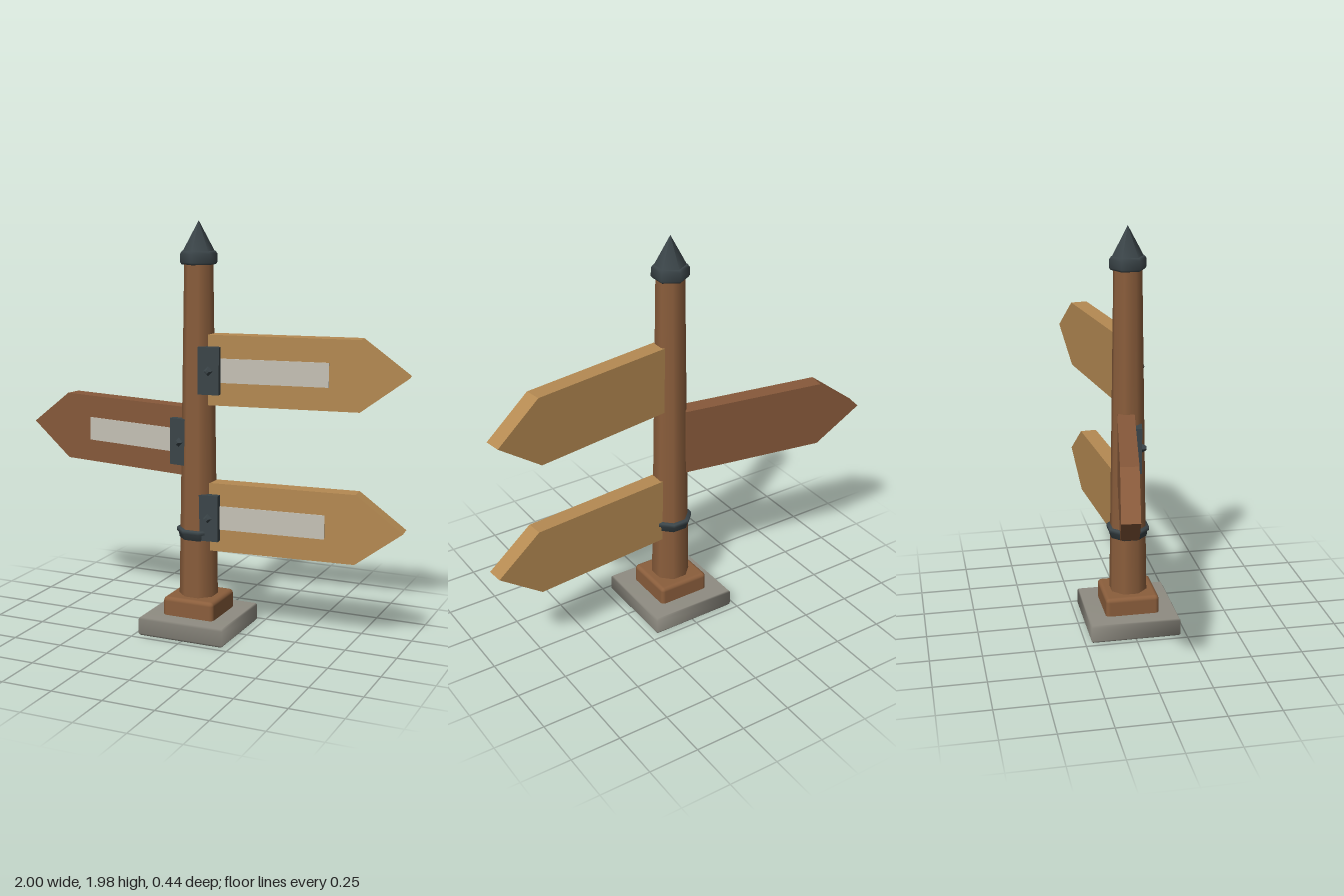
import * as THREE from 'three';
import { RoundedBoxGeometry } from 'three/addons/geometries/RoundedBoxGeometry.js';

const mat = (color, flatShading = false) => new THREE.MeshStandardMaterial({ color, flatShading });
const stone = mat(0x8f8c82), postWood = mat(0x8b5e3c), lightWood = mat(0xb58a52, true);
const darkWood = mat(0x87593a, true), iron = mat(0x3b4549), ironFlat = mat(0x3b4549, true), paint = mat(0xc6c2b6, true);

function part(parent, name, geometry, material, x = 0, y = 0, z = 0) {
  const mesh = new THREE.Mesh(geometry, material);
  mesh.name = name;
  mesh.position.set(x, y, z);
  parent.add(mesh);
  return mesh;
}

// Faceted upright solid from [radius, height] pairs, listed bottom to top
function turned(profile, sides, turn = 0) {
  return new THREE.LatheGeometry(profile.map(([r, y]) => new THREE.Vector2(r, y)), sides, turn);
}

// Arrow board with label, bracket plate and bolt; dir is +1 (left) or -1 (right)
function arrowSign(name, dir, x, y, z, angle, wood) {
  const sign = new THREE.Group();
  sign.name = name;
  sign.position.set(x, y, z);
  sign.rotation.y = dir * angle;

  const outline = [[0, -0.167], [0.72, -0.167], [0.943, 0], [0.72, 0.167], [0, 0.167]];
  const shape = new THREE.Shape(outline.map(([px, py]) => new THREE.Vector2(dir * px, py)));
  const board = new THREE.ExtrudeGeometry(shape, { depth: 0.082, bevelEnabled: false });
  part(sign, 'arrowBoard', board, wood, 0, 0, -0.082);

  part(sign, 'labelStrip', new THREE.BoxGeometry(0.54, 0.115, 0.008), paint, dir * 0.305, 0, 0.001);
  part(sign, 'bracketPlate', new THREE.BoxGeometry(0.103, 0.225, 0.036), ironFlat, dir * 0.01, 0, 0.016);

  const boltGeo = new THREE.CylinderGeometry(0.01, 0.023, 0.022, 4).rotateX(Math.PI / 2);
  part(sign, 'bolt', boltGeo, ironFlat, dir * 0.01, 0, 0.045);
  return sign;
}

export function createModel() {
  const model = new THREE.Group();
  model.name = 'signpost';
  const column = new THREE.Group();
  column.name = 'column';
  column.position.x = -0.006;
  model.add(column);

  // Square stone foot and wooden plinth
  const foot = [[0, 0], [0.302, 0], [0.311, 0.01], [0.311, 0.08], [0.302, 0.09], [0, 0.09]];
  part(column, 'stoneFoot', turned(foot, 4, Math.PI / 4), stone);
  part(column, 'plinth', new RoundedBoxGeometry(0.264, 0.11, 0.264, 2, 0.02), postWood, 0, 0.125, 0);

  // Tapered post
  const post = new THREE.CylinderGeometry(0.068, 0.094, 1.64, 8);
  post.rotateY(Math.PI / 8);
  part(column, 'post', post, postWood, 0, 0.98, 0);

  // Iron band with a wider upper lip
  const band = [[0.08, 0.465], [0.094, 0.465], [0.096, 0.492], [0.106, 0.495], [0.106, 0.513], [0.08, 0.515]];
  part(column, 'ironBand', turned(band, 8, Math.PI / 8), iron);

  // Six-sided cap: collar and spike
  const collar = [[0, 1.78], [0.08, 1.78], [0.088, 1.79], [0.087, 1.83], [0.078, 1.843], [0, 1.843]];
  part(column, 'capCollar', turned(collar, 6), iron);
  part(column, 'capSpike', new THREE.ConeGeometry(0.077, 0.145, 6), iron, 0, 1.91, 0);

  // Three direction signs
  model.add(arrowSign('upperSign', 1, 0.06, 1.29, 0.04, 0.15, lightWood));
  model.add(arrowSign('middleSign', -1, -0.072, 0.935, 0.02, 0.17, darkWood));
  model.add(arrowSign('lowerSign', 1, 0.06, 0.58, 0.04, 0.086, lightWood));
  return model;
}
